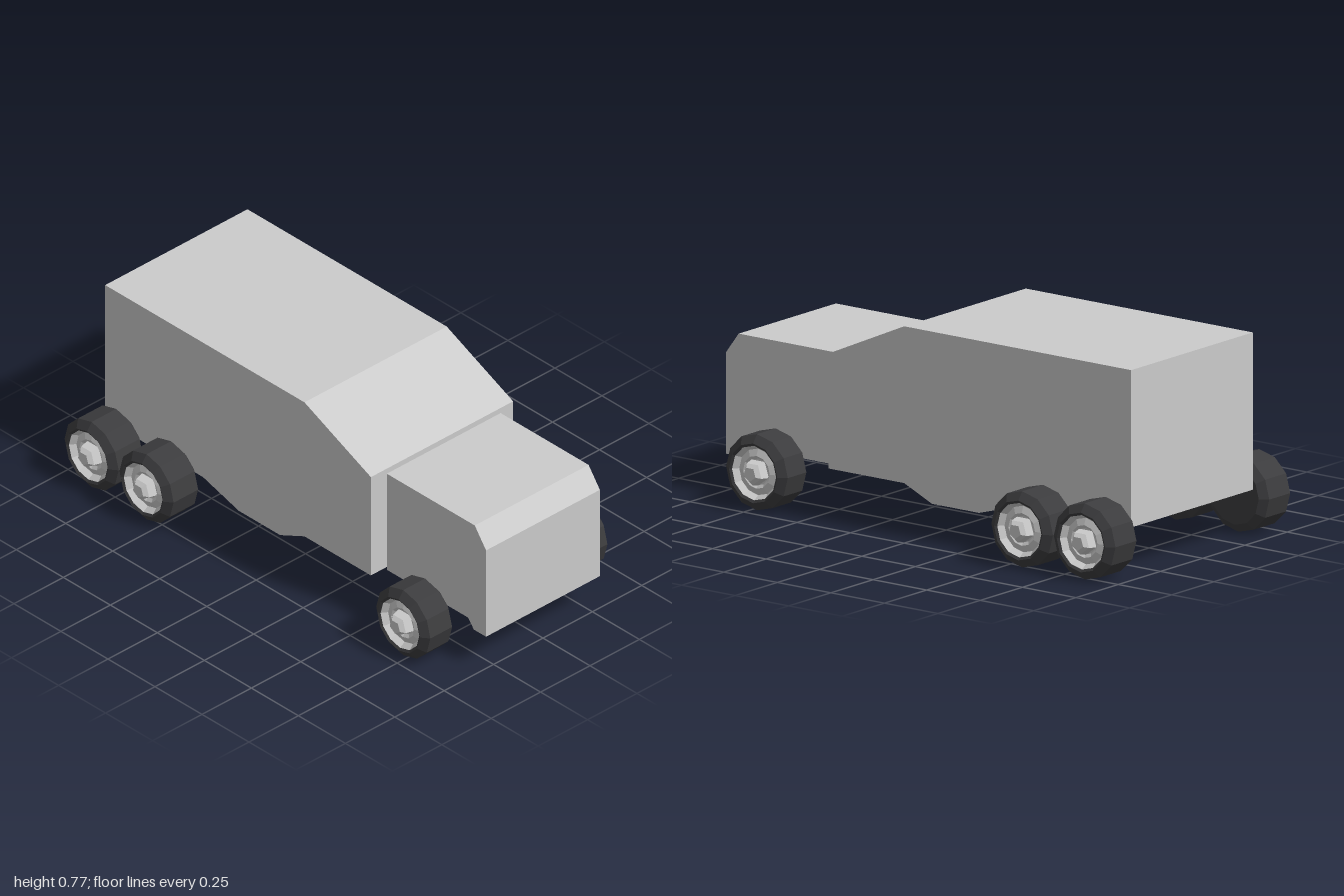
import * as THREE from 'three';

const paint = new THREE.MeshStandardMaterial({ color: 0xcccccc, flatShading: true });
const rubber = new THREE.MeshStandardMaterial({ color: 0x3c3c3e, flatShading: true });

// Side outline in x, y, extruded across the width and centred on z
function slab(name, halfWidth, outline) {
  const shape = new THREE.Shape(outline.map(([x, y]) => new THREE.Vector2(x, y)));
  const geometry = new THREE.ExtrudeGeometry(shape, { depth: 2 * halfWidth, bevelEnabled: false });
  geometry.translate(0, 0, -halfWidth);
  const mesh = new THREE.Mesh(geometry, paint);
  mesh.name = name;
  return mesh;
}

// Profile of [radius, distance outwards] turned about the wheel axis
function turned(name, profile, sides, material) {
  const points = profile.map(([r, d]) => new THREE.Vector2(r, d));
  const geometry = new THREE.LatheGeometry(points, sides).rotateX(Math.PI / 2);
  const mesh = new THREE.Mesh(geometry, material);
  mesh.name = name;
  return mesh;
}

// Wheel with its inner face at z = 0 and its hub pointing to +z
function makeWheel(name, width) {
  const wheel = new THREE.Group();
  wheel.name = name;
  wheel.add(
    turned('tyre', [[0, 0], [0.113, 0], [0.144, 0.023], [0.144, width - 0.023],
      [0.113, width], [0.103, width - 0.006]], 12, rubber),
    turned('rim', [[0.104, width - 0.006], [0.088, width - 0.03], [0.062, width - 0.02],
      [0.05, width - 0.03], [0, width - 0.03]], 12, paint),
    turned('hub', [[0.052, width - 0.03], [0.044, width + 0.004],
      [0.028, width + 0.02], [0, width + 0.02]], 5, paint),
  );
  return wheel;
}

export function createModel() {
  const model = new THREE.Group();
  model.name = 'truck';

  // Cargo body with sloped front roof and lowered belly
  model.add(slab('cargoBody', 0.36, [
    [-0.95, 0.18], [-0.43, 0.18], [-0.24, 0.124], [-0.02, 0.124], [0.11, 0.182],
    [0.463, 0.182], [0.463, 0.617], [0.11, 0.775], [-0.95, 0.775],
  ]));

  // Cab with chamfered brow and front bumper lip
  model.add(slab('cab', 0.288, [
    [0.472, 0.178], [0.905, 0.178], [0.935, 0.14], [1, 0.14],
    [1, 0.522], [0.94, 0.603], [0.472, 0.603],
  ]));

  // Three axles: position, inner face and tyre width
  const axles = [
    ['rearWheel', -0.857, 0.37, 0.17],
    ['middleWheel', -0.565, 0.37, 0.17],
    ['frontWheel', 0.728, 0.315, 0.156],
  ];
  for (const [name, x, inner, width] of axles) {
    for (const side of [1, -1]) {
      const wheel = makeWheel(name, width);
      wheel.position.set(x, 0.144, side * inner);
      if (side < 0) wheel.rotation.y = Math.PI;
      model.add(wheel);
    }
  }
  return model;
}
